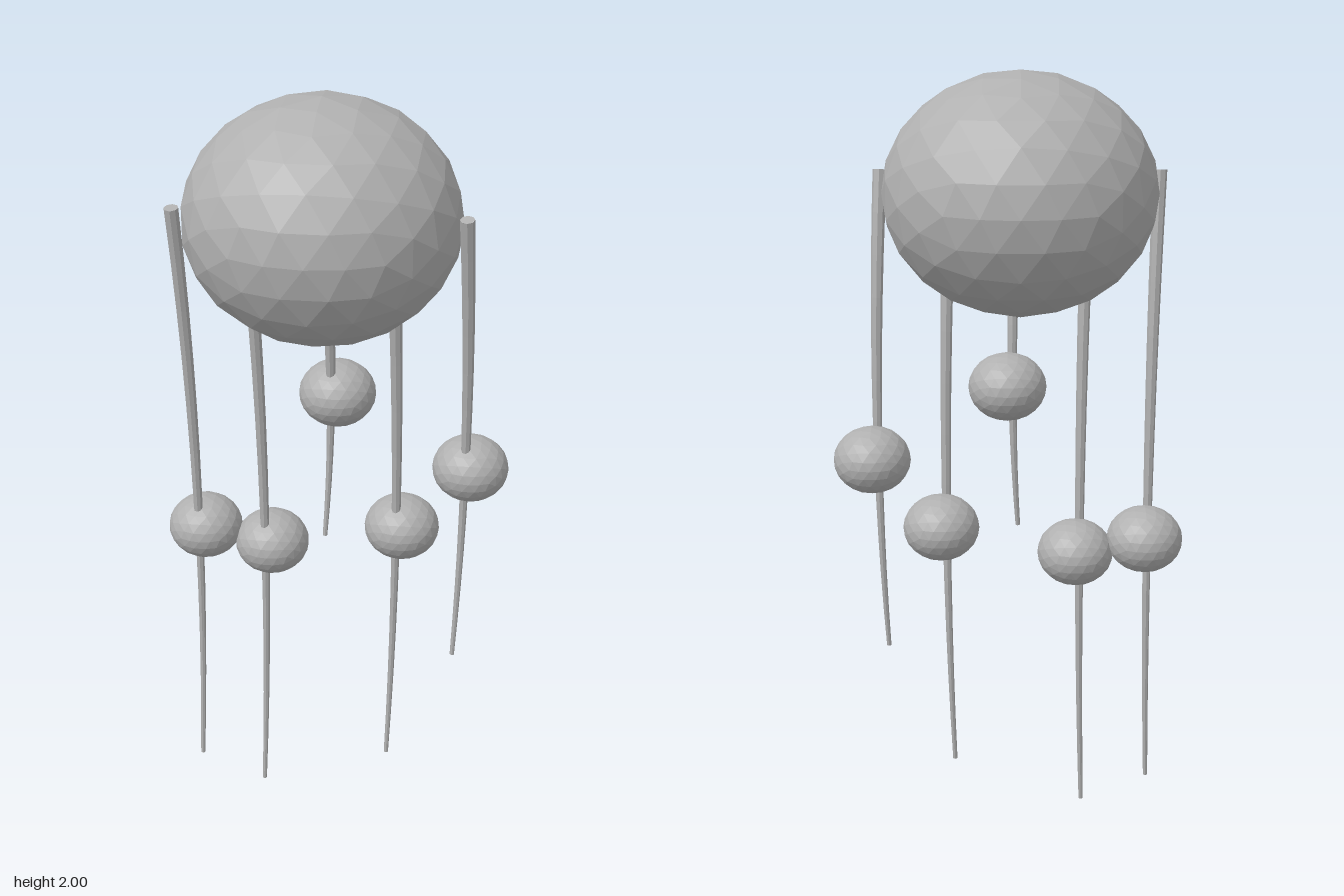
import * as THREE from 'three';

// Unit icosphere: each round splits every triangle in four and pushes the midpoints out
function icosphere(rounds) {
  const p = new THREE.IcosahedronGeometry(1, 0).rotateY(Math.PI / 2).getAttribute('position');
  let points = [];
  for (let i = 0; i < p.count; i++) points.push(new THREE.Vector3().fromBufferAttribute(p, i));
  for (let r = 0; r < rounds; r++) {
    const next = [];
    for (let i = 0; i < points.length; i += 3) {
      const [a, b, c] = points.slice(i, i + 3);
      const mid = (u, v) => u.clone().add(v).normalize();
      const ab = mid(a, b), bc = mid(b, c), ca = mid(c, a);
      next.push(a, ab, ca, ab, b, bc, ca, bc, c, ab, bc, ca);
    }
    points = next;
  }
  return new THREE.BufferGeometry().setFromPoints(points);
}

function makeBall(name, radius, height, position, material) {
  const geometry = icosphere(2).scale(radius, height, radius);
  geometry.computeVertexNormals(); // unshared corners give flat facets
  const ball = new THREE.Mesh(geometry, material);
  ball.name = name;
  ball.position.set(...position);
  return ball;
}

// Tube that narrows along the curve, closed at both ends
function makeTentacle(curve, r0, r1, material) {
  const segments = 12, sides = 8;
  const tube = new THREE.TubeGeometry(curve, segments, 1, sides, false);
  const pos = tube.getAttribute('position');
  const v = new THREE.Vector3();
  for (let i = 0; i < pos.count; i++) {
    const t = Math.floor(i / (sides + 1)) / segments;
    const centre = curve.getPointAt(t);
    v.fromBufferAttribute(pos, i).sub(centre).multiplyScalar(r0 + (r1 - r0) * t).add(centre);
    pos.setXYZ(i, v.x, v.y, v.z);
  }
  const flat = tube.toNonIndexed();
  flat.computeVertexNormals();
  const group = new THREE.Group();
  group.name = 'tentacle';
  const strand = new THREE.Mesh(flat, material);
  strand.name = 'strand';
  group.add(strand);
  for (const [t, radius, direction] of [[0, r0, -1], [1, r1, 1]]) {
    const cap = new THREE.Mesh(new THREE.CircleGeometry(radius, sides), material);
    cap.name = 'strandEnd';
    cap.position.copy(curve.getPointAt(t));
    const outward = curve.getTangentAt(t).multiplyScalar(direction);
    cap.quaternion.setFromUnitVectors(new THREE.Vector3(0, 0, 1), outward);
    group.add(cap);
  }
  return group;
}

export function createModel() {
  const grey = new THREE.MeshStandardMaterial({ color: 0xb0b0b0 });
  grey.name = 'grey';
  const model = new THREE.Group();
  model.name = 'floatingBody';

  // Slightly squashed body
  model.add(makeBall('body', 0.343, 0.3, [-0.032, 1.7, 0], grey));

  // Hanging tentacles: x, lower end y, bead x, bead y
  const top = 1.745;
  const tentacles = [
    [-0.382, 0.08, -0.357, 0.806],
    [-0.204, 0.005, -0.177, 0.769],
    [-0.027, 0.825, 0, 1.22],
    [0.145, 0.13, 0.172, 0.838],
    [0.32, 0.475, 0.347, 1.024],
  ];
  for (const [x, bottom, beadX, beadY] of tentacles) {
    const curve = new THREE.QuadraticBezierCurve3(
      new THREE.Vector3(x, top, 0.09),
      new THREE.Vector3(x + 0.03, (top + bottom) / 2, -0.05),
      new THREE.Vector3(x, bottom, 0.004),
    );
    model.add(makeTentacle(curve, 0.018, 0.006, grey));
    model.add(makeBall('bead', 0.099, 0.086, [beadX, beadY, -0.048], grey));
  }
  return model;
}
